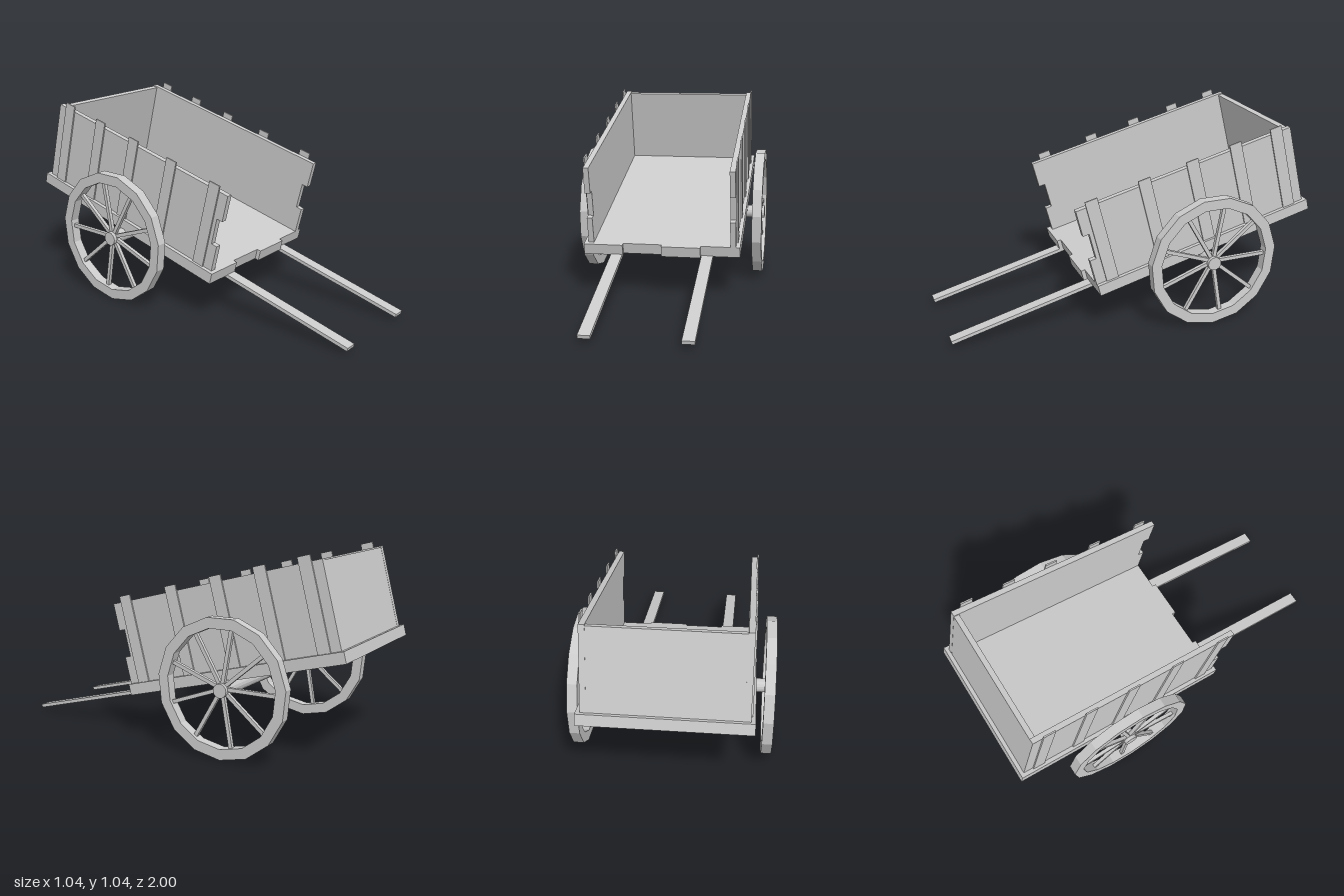
import * as THREE from 'three';

const mat = new THREE.MeshStandardMaterial({ color: 0xcccccc, flatShading: true });

// Box given by its min and max corners
function slab(parent, name, x0, x1, y0, y1, z0, z1) {
  const mesh = new THREE.Mesh(new THREE.BoxGeometry(x1 - x0, y1 - y0, z1 - z0), mat);
  mesh.position.set((x0 + x1) / 2, (y0 + y1) / 2, (z0 + z1) / 2);
  mesh.name = name;
  parent.add(mesh);
}

// Regular polygon with one corner pointing straight down
function polygon(radius, sides, Type) {
  const pts = [];
  for (let i = 0; i < sides; i++) {
    const a = -Math.PI / 2 + (i / sides) * Math.PI * 2;
    pts.push(new THREE.Vector2(Math.cos(a) * radius, Math.sin(a) * radius));
  }
  return new Type(pts);
}

function createWheel() {
  const wheel = new THREE.Group();
  const width = 0.054;

  // Faceted rim
  const shape = polygon(0.364, 15, THREE.Shape);
  shape.holes.push(polygon(0.308, 15, THREE.Path));
  const rimGeo = new THREE.ExtrudeGeometry(shape, { depth: width, bevelEnabled: false });
  rimGeo.translate(0, 0, -width / 2);
  const rim = new THREE.Mesh(rimGeo, mat);
  rim.name = 'rim';
  wheel.add(rim);

  // Nine spokes
  const spokeGeo = new THREE.BoxGeometry(0.285, 0.02, 0.02).translate(0.165, 0, 0);
  for (let i = 0; i < 9; i++) {
    const spoke = new THREE.Mesh(spokeGeo, mat);
    spoke.rotation.z = (i / 9) * Math.PI * 2;
    spoke.name = 'spoke';
    wheel.add(spoke);
  }
  wheel.rotation.y = Math.PI / 2;
  return wheel;
}

export function createModel() {
  const cart = new THREE.Group();
  cart.name = 'handcart';

  // Tilted body, its origin at the lower back edge of the bed
  const body = new THREE.Group();
  body.name = 'body';
  body.position.set(-0.002, 0.546, -1);
  body.rotation.x = 0.25;
  cart.add(body);

  // Bed planks with staggered front ends
  for (let i = 0; i < 4; i++) {
    const x = -0.424 + i * 0.212;
    slab(body, 'bedPlank', x, x + 0.212, 0, 0.06, 0, i % 2 ? 1.27 : 1.292);
  }

  // Side walls: three planks and five upright battens each
  const plankEnds = [1.27, 1.235, 1.27];
  const battens = [0.108, 0.352, 0.607, 0.883, 1.18];
  for (const s of [-1, 1]) {
    const side = new THREE.Group();
    side.name = s > 0 ? 'leftWall' : 'rightWall';
    body.add(side);
    const span = (a, b) => (s > 0 ? [a, b] : [-b, -a]);
    plankEnds.forEach((end, i) => {
      const y = 0.06 + i * 0.147;
      slab(side, 'wallPlank', ...span(0.372, 0.402), y, y + 0.147, 0.02, end);
    });
    for (const z of battens) {
      slab(side, 'batten', ...span(0.402, 0.41), 0.06, 0.533, z - 0.034, z + 0.034);
    }
    // Pulling shaft, running under the bed to the axle
    slab(body, 'shaft', ...span(0.215, 0.278), -0.015, 0.004, 0.62, 2.066);
  }
  slab(body, 'backWall', -0.372, 0.372, 0.06, 0.494, 0.021, 0.05);

  // Axle and wheels
  const axle = new THREE.Mesh(new THREE.CylinderGeometry(0.037, 0.037, 1.044, 16), mat);
  axle.rotation.z = Math.PI / 2;
  axle.position.set(0, 0.357, -0.378);
  axle.name = 'axle';
  cart.add(axle);
  for (const s of [-1, 1]) {
    const wheel = createWheel();
    wheel.name = s > 0 ? 'leftWheel' : 'rightWheel';
    wheel.position.set(s * 0.493, 0.364, -0.378);
    cart.add(wheel);
  }
  return cart;
}
